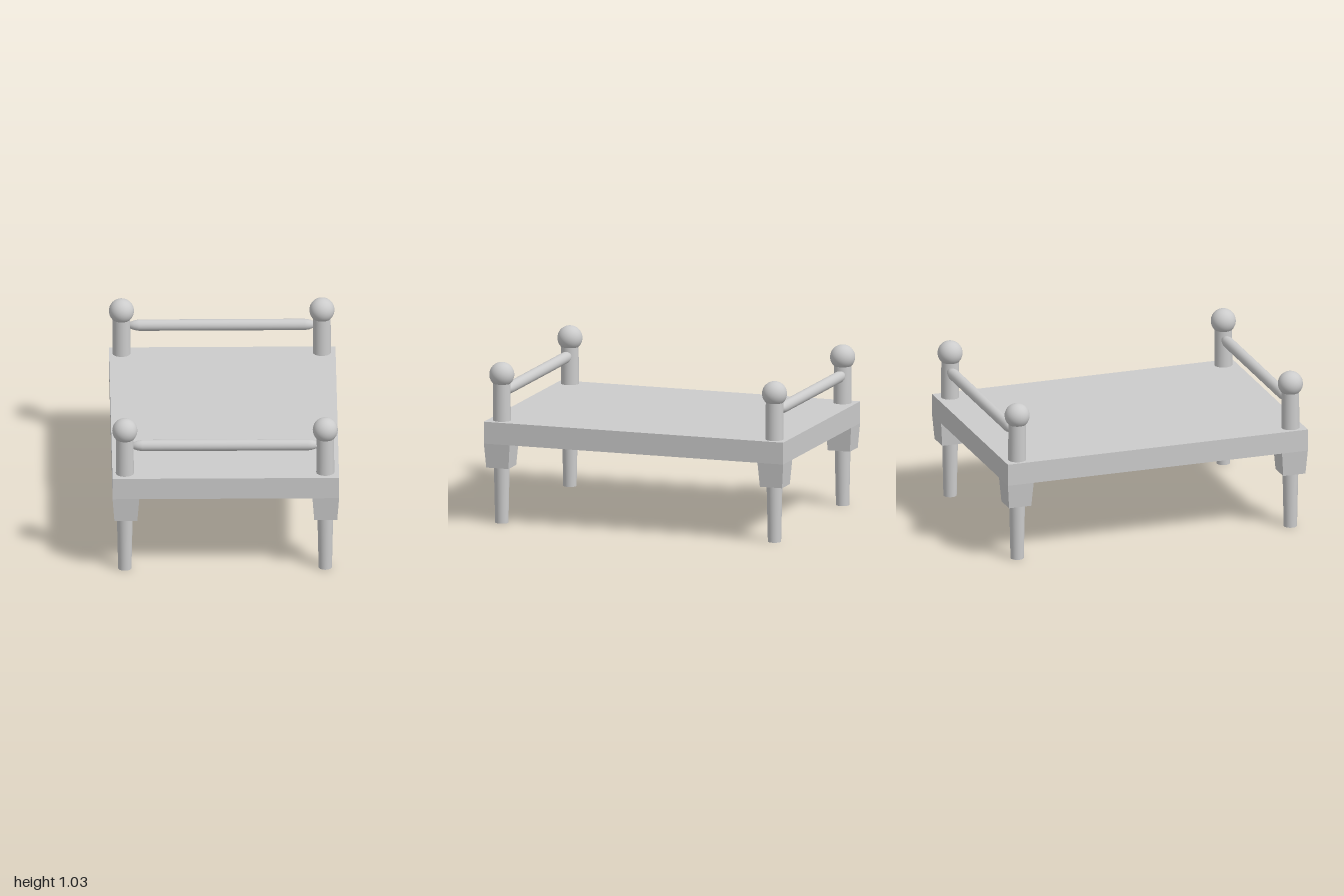
import * as THREE from 'three';

const material = new THREE.MeshStandardMaterial({ color: 0xcccccc });

function add(parent, name, geometry, x = 0, y = 0, z = 0) {
  const mesh = new THREE.Mesh(geometry, material);
  mesh.name = name;
  mesh.position.set(x, y, z);
  parent.add(mesh);
  return mesh;
}

// Square block whose lower end is narrower than its upper end
function taperedBlock(width, height, depth, scale) {
  const geometry = new THREE.BoxGeometry(width, height, depth).toNonIndexed();
  const p = geometry.attributes.position;
  for (let i = 0; i < p.count; i++) {
    if (p.getY(i) < 0) p.setXYZ(i, p.getX(i) * scale, p.getY(i), p.getZ(i) * scale);
  }
  geometry.computeVertexNormals();
  return geometry;
}

export function createModel() {
  const bed = new THREE.Group();
  bed.name = 'bed';

  // Solid bed base
  add(bed, 'base', new THREE.BoxGeometry(1.424, 0.14, 2), 0, 0.585, 0);

  const legGeometry = new THREE.CylinderGeometry(0.05, 0.042, 0.37, 32);
  const postGeometry = new THREE.CylinderGeometry(0.055, 0.057, 0.255, 32);
  const knobGeometry = new THREE.SphereGeometry(0.079, 32, 20);
  const blockGeometry = taperedBlock(0.168, 0.155, 0.172, 0.86);

  // Rail with tapered ends, turned around its own length
  const railProfile = [[0, -0.59], [0.017, -0.59], [0.031, -0.55], [0.036, -0.52],
    [0.036, 0.52], [0.031, 0.55], [0.017, 0.59], [0, 0.59]];
  const railGeometry = new THREE.LatheGeometry(
    railProfile.map(([r, y]) => new THREE.Vector2(r, y)), 24);

  for (const end of [1, -1]) {
    const endName = end > 0 ? 'front' : 'back';
    const z = end * 0.911;

    // Leg, corner block, post and knob at each corner
    for (const side of [1, -1]) {
      const corner = new THREE.Group();
      corner.name = `${endName}${side > 0 ? 'Left' : 'Right'}Corner`;
      const x = side > 0 ? 0.626 : -0.634;
      add(corner, 'leg', legGeometry, x, 0.185, z);
      add(corner, 'cornerBlock', blockGeometry, side * 0.628, 0.4375, end * 0.914);
      add(corner, 'post', postGeometry, x, 0.7725, z);
      add(corner, 'knob', knobGeometry, x, 0.948, z);
      bed.add(corner);
    }

    const rail = add(bed, `${endName}Rail`, railGeometry, -0.003, 0.841, end > 0 ? 0.903 : -0.927);
    rail.rotation.z = -Math.PI / 2;
  }

  return bed;
}
